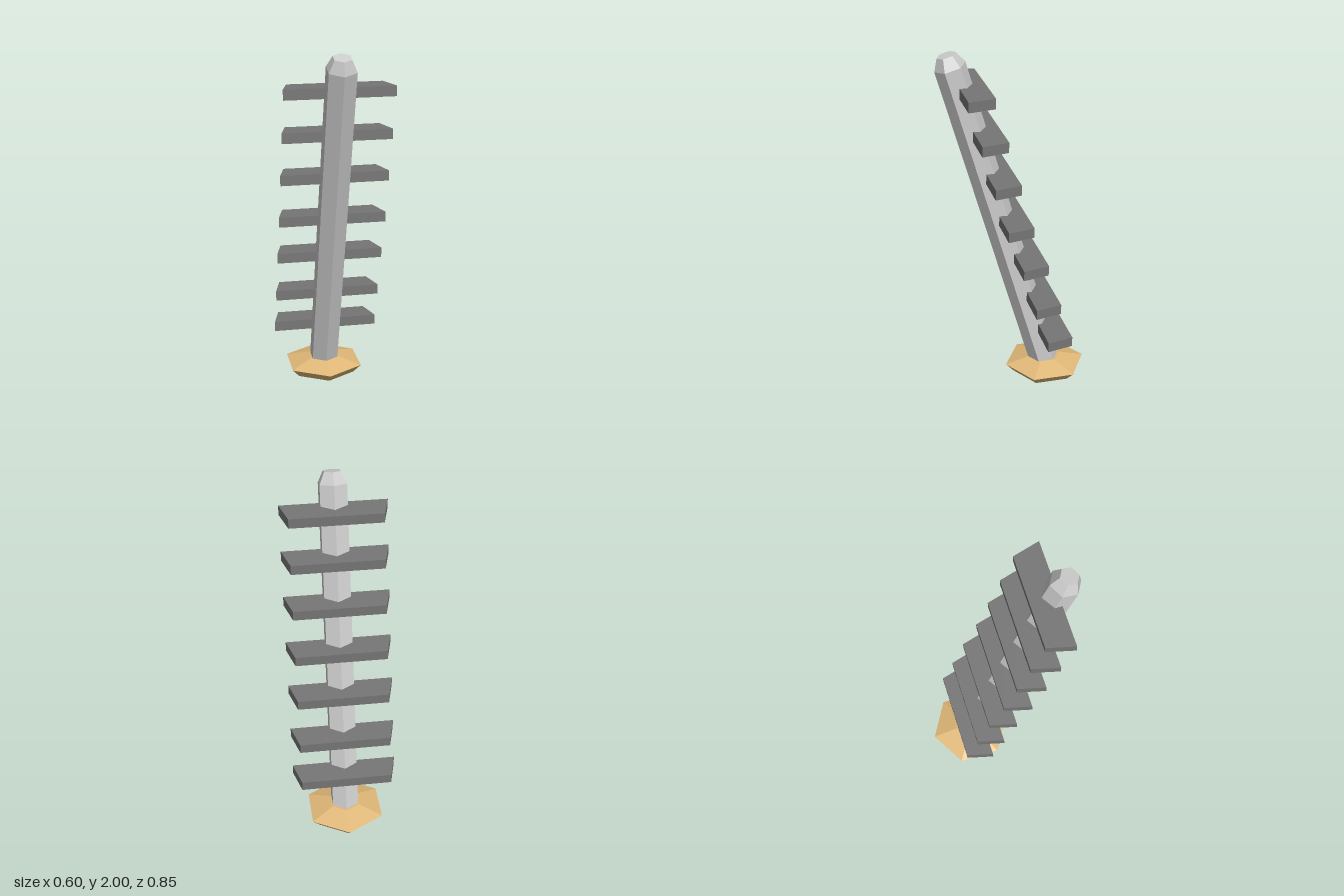
import * as THREE from 'three';

const material = (color) => new THREE.MeshStandardMaterial({ color, flatShading: true });

export function createModel() {
  const model = new THREE.Group();
  const poleGrey = material(0xcccccc);
  const slatGrey = material(0x767676);
  const tan = material(0xe0b878);

  const add = (parent, name, geometry, mat, x, y, z) => {
    const mesh = new THREE.Mesh(geometry, mat);
    mesh.name = name;
    mesh.position.set(x, y, z);
    parent.add(mesh);
    return mesh;
  };

  // Six-sided foot, widest part-way up
  const footProfile = [[0, 0], [0.19, 0], [0.237, 0.05], [0.09, 0.09], [0, 0.09]]
    .map(([r, y]) => new THREE.Vector2(r, y));
  add(model, 'foot', new THREE.LatheGeometry(footProfile, 6), tan, 0, 0, -0.189);

  // Hexagonal pole with a tapered tip, leaning forward out of the foot
  const pole = new THREE.Group();
  pole.name = 'pole';
  pole.position.set(0, 0.09, -0.178);
  pole.rotation.x = Math.atan(0.285);
  model.add(pole);
  const sunk = 0.04, length = 1.906, tip = 0.0665, radius = 0.0866;
  const poleProfile = [[0, -sunk], [radius, -sunk], [radius, length], [0.053, length + tip], [0, length + tip]]
    .map(([r, y]) => new THREE.Vector2(r, y));
  add(pole, 'poleShaft', new THREE.LatheGeometry(poleProfile, 6), poleGrey, 0, 0, 0);

  // Crosswise slats, wider at the front, set into the back of the pole
  const depth = 0.152, thickness = 0.057;
  const outline = new THREE.Shape([
    new THREE.Vector2(-0.26, -depth / 2), new THREE.Vector2(0.26, -depth / 2),
    new THREE.Vector2(0.3, depth / 2), new THREE.Vector2(-0.3, depth / 2),
  ]);
  const slat = new THREE.ExtrudeGeometry(outline, { depth: thickness, bevelEnabled: false });
  slat.rotateX(Math.PI / 2).translate(0, thickness / 2, 0);
  const heightsAndDepths = [
    [0.315, -0.204], [0.537, -0.134], [0.793, -0.059], [1.036, 0.026],
    [1.295, 0.097], [1.546, 0.166], [1.793, 0.235],
  ];
  heightsAndDepths.forEach(([y, z], i) => {
    add(model, `slat${i + 1}`, slat, slatGrey, 0, y, z).rotation.x = -0.03;
  });

  return model;
}
